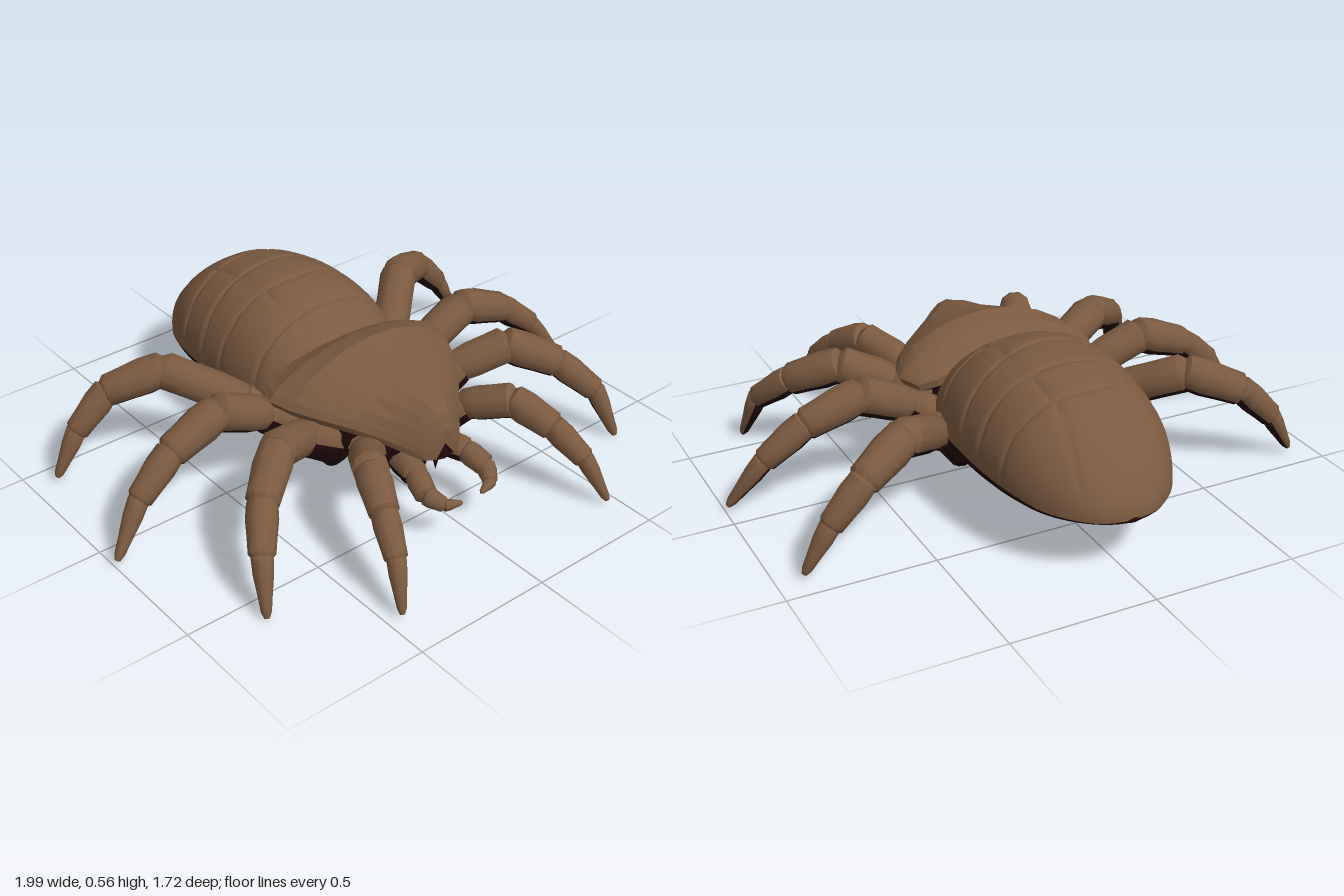
import * as THREE from 'three';
import { toCreasedNormals } from 'three/addons/utils/BufferGeometryUtils.js';

const brown = new THREE.MeshStandardMaterial({ color: 0x7b5a40 });
brown.name = 'brown shell';
const dark = new THREE.MeshStandardMaterial({ color: 0x20090a });
dark.name = 'dark underside';
const V = (x, y, z) => new THREE.Vector3(x, y, z);

// Skin a list of closed rings; isDark(j) picks the colour of each strip
function loft(name, rings, isDark, crease) {
  const faces = [[], []];
  const n = rings[0].length;
  const tri = (m, a, b, c) => faces[m].push(...a.toArray(), ...b.toArray(), ...c.toArray());
  const middle = (ring) => ring.reduce((s, p) => s.add(p), V(0, 0, 0)).divideScalar(n);
  const last = rings[rings.length - 1];
  const c0 = middle(rings[0]), c1 = middle(last);
  for (let j = 0; j < n; j++) {
    const k = (j + 1) % n, m = isDark(j) ? 1 : 0;
    for (let i = 0; i < rings.length - 1; i++) {
      const a = rings[i], b = rings[i + 1];
      tri(m, a[j], a[k], b[k]);
      tri(m, a[j], b[k], b[j]);
    }
    tri(m, c0, rings[0][k], rings[0][j]);
    tri(m, c1, last[j], last[k]);
  }
  const geo = new THREE.BufferGeometry();
  geo.setAttribute('position', new THREE.Float32BufferAttribute(faces.flat(), 3));
  geo.addGroup(0, faces[0].length / 3, 0);
  geo.addGroup(faces[0].length / 3, faces[1].length / 3, 1);
  const mesh = new THREE.Mesh(toCreasedNormals(geo, crease), [brown, dark]);
  mesh.name = name;
  return mesh;
}

// Smooth interpolation through rows of [z, value, value, ...]
function smoothRows(rows) {
  const size = rows[0].length - 1;
  const curve = new THREE.CubicInterpolant(
    rows.map((r) => r[0]), rows.flatMap((r) => r.slice(1)), size, new Float32Array(size));
  return (z) => Array.from(curve.evaluate(z));
}

// One swollen limb segment, dark along its lower side
function segment(name, a, b, r0, r1, darkReach) {
  const d = b.clone().sub(a).normalize();
  const u = V(0, 1, 0).cross(d).normalize();
  const v = d.clone().cross(u);
  const sides = 10;
  const profile = [[-0.13, 0.5], [-0.02, 0.95], [0.3, 1.08], [0.65, 1.05], [0.95, 1.05], [1.06, 0.65]];
  const rings = profile.map(([t, k]) => {
    const r = THREE.MathUtils.lerp(r0, r1, t) * k;
    const centre = a.clone().lerp(b, t);
    return Array.from({ length: sides }, (_, j) => {
      const q = (j / sides) * Math.PI * 2;
      return centre.clone().addScaledVector(u, Math.cos(q) * r).addScaledVector(v, Math.sin(q) * r);
    });
  });
  return loft(name, rings, (j) => Math.abs(j - 7) <= darkReach, 0.75);
}

// A chain of segments; the one at the body is darker
function limb(name, nodes, radii, names, side) {
  const group = new THREE.Group();
  group.name = name;
  const p = nodes.map(([x, y, z]) => V(x * side, y, z));
  for (let i = 0; i < p.length - 1; i++) {
    group.add(segment(names[i], p[i], p[i + 1], radii[i][0], radii[i][1], i === 0 ? 2 : 1));
  }
  return group;
}

// Abdomen: domed shell with shallow plate grooves over a dark belly
function makeAbdomen() {
  const at = smoothRows([ // z, half width, top, rim, bottom
    [-0.855, 0.025, 0.225, 0.21, 0.2], [-0.845, 0.075, 0.255, 0.21, 0.198], [-0.825, 0.115, 0.29, 0.21, 0.195],
    [-0.78, 0.175, 0.35, 0.215, 0.185], [-0.7, 0.235, 0.432, 0.22, 0.17],
    [-0.6, 0.28, 0.5, 0.235, 0.155], [-0.45, 0.308, 0.548, 0.245, 0.135],
    [-0.3, 0.317, 0.565, 0.25, 0.125], [-0.15, 0.31, 0.545, 0.25, 0.125],
    [-0.05, 0.287, 0.5, 0.25, 0.14], [0.02, 0.25, 0.44, 0.25, 0.18], [0.05, 0.18, 0.38, 0.25, 0.2]]);
  const top = 48, low = 12, count = 110;
  const line = (d, w) => Math.exp(-((d / w) ** 2));
  const rings = [];
  for (let i = 0; i <= count; i++) {
    const z = -0.855 + (0.905 * i) / count;
    const [w, T, R, B] = at(z);
    const ring = [];
    for (let j = 0; j < top; j++) {
      const q = (j / top) * Math.PI, c = Math.cos(q), s = Math.sin(q);
      const x = w * Math.sign(c) * Math.abs(c) ** 0.92;
      let groove = Math.abs(z + 0.4) < 0.38 ? line(Math.abs(x) - 0.13 - 0.012 * Math.sin(z * 14), 0.011) : 0;
      for (const g of [-0.1, -0.26, -0.41, -0.55]) {
        groove = Math.max(groove, line(z - g - 0.12 * (Math.abs(x) - 0.1) * Math.sin(g * 30), 0.008));
      }
      const k = 1 - 0.025 * groove * Math.min(1, s * 3);
      ring.push(V(x * k, R + (T - R) * s ** 0.92 * k, z));
    }
    for (let j = 0; j < low; j++) {
      const q = Math.PI * (1 + j / low);
      ring.push(V(w * Math.cos(q), R + (R - B) * Math.sin(q), z));
    }
    rings.push(ring);
  }
  return loft('abdomen', rings, (j) => j >= top, 0.5);
}

// Carapace: faceted shield with a raised middle, tapering to a rounded snout
function makeCarapace() {
  const rows = [ // z, half width, top, rim
    [-0.02, 0.27, 0.41, 0.365], [0, 0.335, 0.44, 0.35], [0.08, 0.367, 0.49, 0.35],
    [0.16, 0.345, 0.515, 0.345], [0.24, 0.305, 0.487, 0.34], [0.34, 0.235, 0.458, 0.325],
    [0.43, 0.155, 0.447, 0.29], [0.485, 0.11, 0.43, 0.265], [0.515, 0.08, 0.395, 0.25], [0.535, 0.04, 0.34, 0.245]];
  const n = 10;
  const rings = rows.map(([z, w, T, R]) => {
    const ring = [];
    for (let j = 0; j <= n; j++) {
      const q = (j / n) * Math.PI;
      ring.push(V(w * Math.cos(q), R + 0.015 + (T - R - 0.015) * Math.sin(q) ** 1.45, z));
    }
    ring.push(V(-w * 0.96, R - 0.01, z), V(0, R - 0.02, z), V(w * 0.96, R - 0.01, z));
    return ring;
  });
  return loft('carapace', rings, (j) => j > n && j < n + 3, 0.25);
}

function darkPart(name, geometry, position, scale) {
  const mesh = new THREE.Mesh(geometry, dark);
  mesh.position.set(...position);
  mesh.scale.set(...scale);
  mesh.name = name;
  return mesh;
}

export function createModel() {
  const model = new THREE.Group();
  model.name = 'spider';
  model.add(makeAbdomen(), makeCarapace());
  const ball = new THREE.SphereGeometry(1, 14, 10);
  model.add(darkPart('sternum', ball, [0, 0.24, 0.2], [0.23, 0.125, 0.28]));
  model.add(darkPart('waist', ball, [0, 0.29, 0], [0.2, 0.11, 0.12]));

  const legs = {
    frontLeg: [[0.13, 0.2, 0.33], [0.22, 0.27, 0.39], [0.31, 0.32, 0.53], [0.368, 0.258, 0.665], [0.412, 0.17, 0.775], [0.45, 0.035, 0.85]],
    secondLeg: [[0.2, 0.2, 0.2], [0.34, 0.29, 0.22], [0.5, 0.352, 0.295], [0.645, 0.278, 0.41], [0.73, 0.18, 0.52], [0.77, 0.02, 0.59]],
    thirdLeg: [[0.2, 0.17, 0.03], [0.36, 0.29, 0.03], [0.54, 0.365, 0.02], [0.73, 0.295, 0.03], [0.87, 0.185, 0.05], [0.983, 0.035, 0.09]],
    backLeg: [[0.2, 0.17, -0.02], [0.33, 0.25, -0.13], [0.53, 0.36, -0.315], [0.7, 0.295, -0.405], [0.82, 0.175, -0.418], [0.905, 0.035, -0.415]],
  };
  const legRadii = [[0.07, 0.062], [0.06, 0.064], [0.064, 0.054], [0.052, 0.041], [0.037, 0.015]];
  const legParts = ['trochanter', 'femur', 'knee', 'shin', 'foot'];
  const palp = [[0.08, 0.2, 0.4], [0.11, 0.2, 0.52], [0.13, 0.17, 0.595], [0.1, 0.15, 0.65], [0.045, 0.145, 0.668]];
  const palpRadii = [[0.048, 0.042], [0.04, 0.037], [0.034, 0.024], [0.022, 0.008]];
  const palpParts = ['palpBase', 'palpMiddle', 'palpClaw', 'palpTip'];

  // Hip joint: rounded on top, narrowing to a blunt point below
  const hip = new THREE.LatheGeometry(
    [[0, -1], [0.3, -0.9], [0.75, -0.4], [1, 0.1], [0.8, 0.7], [0, 1]].map((p) => new THREE.Vector2(...p)), 10);
  const fang = new THREE.ConeGeometry(0.035, 0.15, 8).rotateX(Math.PI);

  for (const side of [1, -1]) {
    const label = side > 0 ? 'left ' : 'right ';
    for (const [name, nodes] of Object.entries(legs)) {
      const k = name === 'frontLeg' ? 0.9 : 1;
      model.add(limb(label + name, nodes, legRadii.map((r) => r.map((x) => x * k)), legParts, side));
    }
    model.add(limb(label + 'pedipalp', palp, palpRadii, palpParts, side));
    model.add(darkPart(label + 'backHip', hip, [0.19 * side, 0.145, -0.02], [0.1, 0.11, 0.11]));
    model.add(darkPart(label + 'middleHip', hip, [0.18 * side, 0.17, 0.17], [0.09, 0.09, 0.09]));
    model.add(darkPart(label + 'frontHip', hip, [0.14 * side, 0.185, 0.34], [0.075, 0.085, 0.08]));
    model.add(darkPart(label + 'fang', fang, [0.03 * side, 0.2, 0.46], [1, 1, 1]));
  }
  return model;
}
